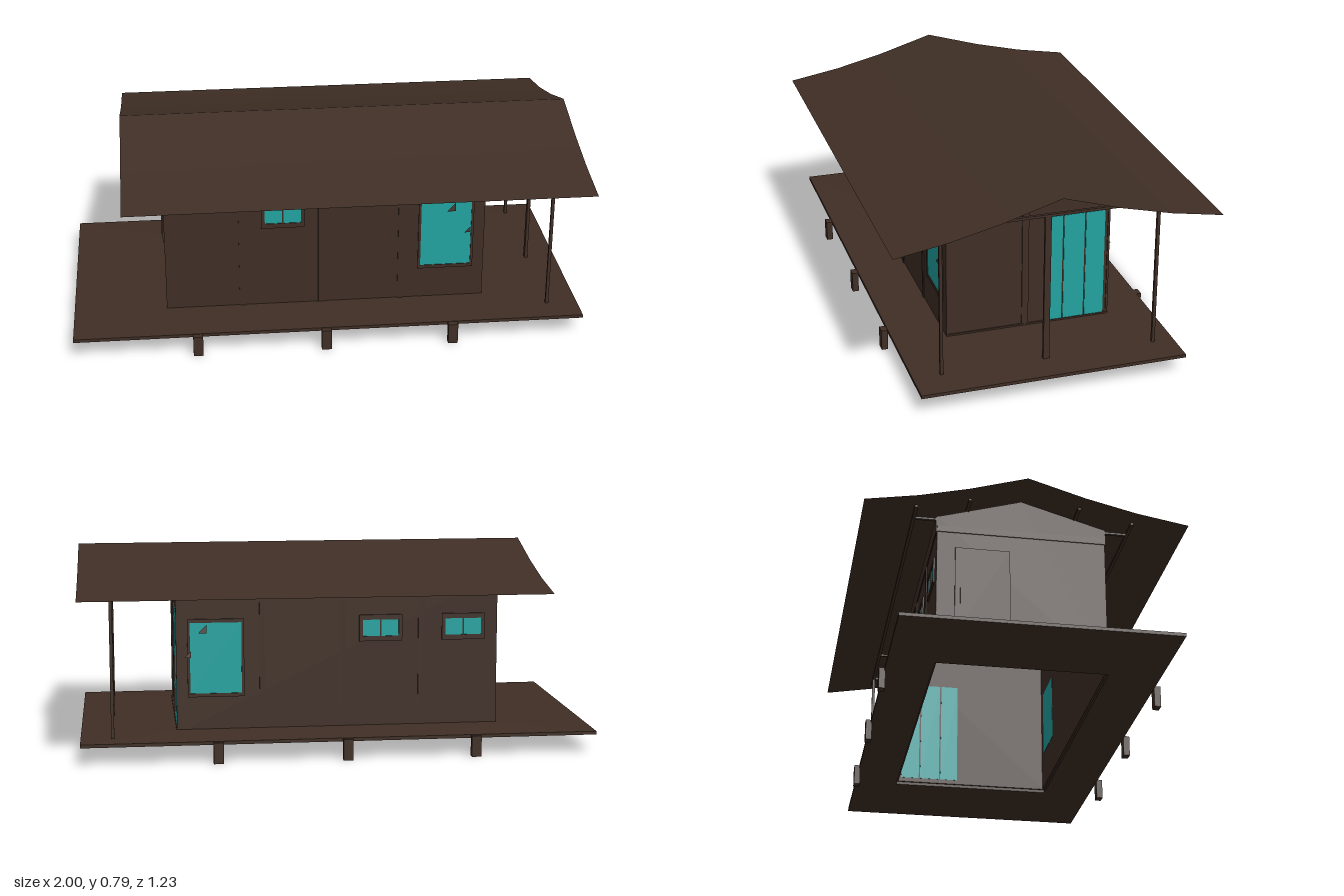
import * as THREE from 'three';

export function createModel() {
  const wood = new THREE.MeshStandardMaterial({ color: 0x3f2e25, side: THREE.DoubleSide });
  wood.name = 'dark brown wood';
  const glass = new THREE.MeshStandardMaterial({ color: 0x22a3a0, side: THREE.DoubleSide });
  glass.name = 'teal glass';

  const model = new THREE.Group();
  model.name = 'cabin';
  const add = (name, geometry, material = wood, parent = model) => {
    const mesh = new THREE.Mesh(geometry, material);
    mesh.name = name;
    parent.add(mesh);
    return mesh;
  };
  // Box given by its limits on each axis
  const box = (name, x0, x1, y0, y1, z0, z1, material = wood, parent = model) => {
    const mesh = add(name, new THREE.BoxGeometry(x1 - x0, y1 - y0, z1 - z0), material, parent);
    mesh.position.set((x0 + x1) / 2, (y0 + y1) / 2, (z0 + z1) / 2);
    return mesh;
  };
  const polygon = (points) => new THREE.Shape(points.map(([x, y]) => new THREE.Vector2(x, y)));

  const L = -0.635, R = 0.625, W = 0.325, FLOOR = 0.093;

  // Deck: a ring round the house, rising slightly towards the walls
  const ring = polygon([[-1, -0.523], [1, -0.523], [1, 0.5], [-1, 0.5]]);
  ring.holes.push(polygon([[L, -W], [L, W], [R, W], [R, -W]]));
  const deck = new THREE.ExtrudeGeometry(ring, { depth: 0.013, bevelEnabled: false });
  deck.rotateX(-Math.PI / 2).translate(0, 0.071, 0);
  const p = deck.attributes.position;
  for (let i = 0; i < p.count; i++) {
    if (p.getY(i) > 0.08 && Math.abs(p.getX(i)) < 0.9) p.setY(i, 0.095);
  }
  deck.computeVertexNormals();
  add('deck', deck);

  // Stub feet against the deck edges
  for (const x of [-0.52, -0.02, 0.478]) {
    box('foot', x - 0.019, x + 0.019, 0, 0.082, 0.523, 0.548);
    box('foot', x - 0.019, x + 0.019, 0, 0.082, -0.52, -0.496);
  }

  // Gabled end walls
  const gable = polygon([[-W, FLOOR - 0.01], [W, FLOOR - 0.01], [W, 0.685], [0, 0.78], [-W, 0.685]]);
  for (const x of [L, R - 0.008]) {
    const wall = add('endWall', new THREE.ExtrudeGeometry(gable, { depth: 0.008, bevelEnabled: false }));
    wall.rotation.y = Math.PI / 2;
    wall.position.x = x;
  }

  // Glazed opening lying on a wall that faces +z
  function addWindow(parent, name, x0, x1, y0, y1, frame, panes) {
    const g = new THREE.Group();
    g.name = name;
    parent.add(g);
    box('windowFrame', x0 - frame, x1 + frame, y1, y1 + frame * 1.4, 0, 0.006, wood, g);
    box('windowFrame', x0 - frame, x1 + frame, y0 - frame * 1.4, y0, 0, 0.006, wood, g);
    box('windowFrame', x0 - frame, x0, y0, y1, 0, 0.006, wood, g);
    box('windowFrame', x1, x1 + frame, y0, y1, 0, 0.006, wood, g);
    const w = (x1 - x0) / panes;
    for (let i = 0; i < panes; i++) {
      box('pane', x0 + i * w, x0 + (i + 1) * w, y0, y1, -0.009, 0.003, glass, g);
      if (i) box('mullion', x0 + i * w - 0.003, x0 + i * w + 0.003, y0, y1, 0, 0.006, wood, g);
    }
  }

  // Small triangular catch standing out from a wall
  function addCatch(parent, x, y, s) {
    const tri = new THREE.ShapeGeometry(polygon([[-s, 0], [0, 0], [0, s]]));
    const mesh = add('windowCatch', tri, wood, parent);
    mesh.position.set(x, y, 0.016);
    mesh.rotation.x = -0.15;
  }

  // Long walls with battens, rail and windows
  for (const s of [1, -1]) {
    const side = new THREE.Group();
    side.name = s > 0 ? 'frontWall' : 'backWall';
    side.position.z = s * W;
    if (s < 0) side.rotation.y = Math.PI;
    model.add(side);
    // x limits are swapped on the turned back wall
    const span = (a, b) => (s > 0 ? [a, b] : [-b, -a]);
    box('wallPanel', ...span(L, R), FLOOR - 0.01, 0.687, -0.008, 0, wood, side);
    box('topRail', ...span(L, R), 0.62, 0.685, 0, 0.004, wood, side);
    for (const [a, b] of [[-0.345, -0.32], [-0.032, -0.007], [0.285, 0.305]]) {
      box('batten', ...span(a, b), FLOOR, 0.62, 0, 0.004, wood, side);
    }
    addWindow(side, 'largeWindow', ...span(0.375, 0.575), 0.237, 0.515, 0.01, 1);
    addWindow(side, 'smallWindow', ...span(-0.242, -0.1), 0.45, 0.515, 0.014, 2);
    if (s < 0) addWindow(side, 'smallWindow', ...span(-0.57, -0.428), 0.45, 0.515, 0.014, 2);
    addCatch(side, s * 0.51, 0.475, 0.034);
    addCatch(side, s * 0.572, 0.38, 0.026);
  }

  // Veranda end: rails, posts and sliding glass doors
  box('endRail', R, R + 0.004, 0.62, 0.645, -W, W);
  box('endRail', R, R + 0.004, 0.672, 0.685, -W, W);
  box('sill', R, R + 0.006, FLOOR, 0.101, -W, W);
  box('middleStud', R, R + 0.005, FLOOR, 0.69, 0, 0.026);
  for (const z of [-W, W - 0.008]) box('cornerStud', R, R + 0.004, FLOOR, 0.685, z, z + 0.008);
  for (const [a, b] of [[-0.305, -0.229], [-0.223, -0.141], [-0.135, -0.062]]) {
    box('slidingDoor', R - 0.009, R + 0.003, 0.101, 0.54, a, b, glass);
  }

  // Closed end: shuttered window, glazed on the inside
  box('shutter', L - 0.006, L, 0.2, 0.555, -0.255, -0.045);
  box('shutterPanel', L - 0.01, L - 0.006, 0.23, 0.525, -0.235, -0.065);
  box('innerPane', L + 0.006, L + 0.011, 0.235, 0.515, -0.25, -0.05, glass);
  box('endRail', L - 0.004, L, 0.62, 0.645, -W, W);

  // Veranda posts and roof beams
  for (const s of [1, -1]) {
    const z = s * 0.415;
    box('verandaPost', 0.871, 0.883, 0.083, 0.675, z - 0.006, z + 0.006);
    box('eavesBeam', -0.72, 0.95, 0.67, 0.678, z - 0.006, z + 0.006);
    box('purlin', -0.72, 0.95, 0.717, 0.725, s * 0.21 - 0.006, s * 0.21 + 0.006);
    for (const x of [L, 0.61]) {
      box('bracket', x, x + 0.012, 0.67, 0.678, s > 0 ? W : -0.415, s > 0 ? 0.415 : -W);
    }
  }
  box('middlePost', 0.871, 0.883, 0.083, 0.675, 0, 0.024);
  box('crossBeam', 0.871, 0.883, 0.67, 0.68, -0.415, 0.415);

  // Thin roof: two sheets flaring out towards the eaves
  const profile = [[0, 0.793], [0.22, 0.727], [0.415, 0.68], [0.617, 0.645]];
  for (const s of [1, -1]) {
    const sheet = new THREE.PlaneGeometry(1.79, 1, 1, profile.length - 1);
    const v = sheet.attributes.position;
    for (let i = 0; i < v.count; i++) {
      const [z, y] = profile[Math.floor(i / 2)];
      v.setXYZ(i, v.getX(i), y, z);
    }
    sheet.computeVertexNormals();
    const mesh = add(s > 0 ? 'frontRoof' : 'backRoof', sheet);
    mesh.position.x = 0.105;
    if (s < 0) mesh.rotation.y = Math.PI;
  }

  return model;
}
